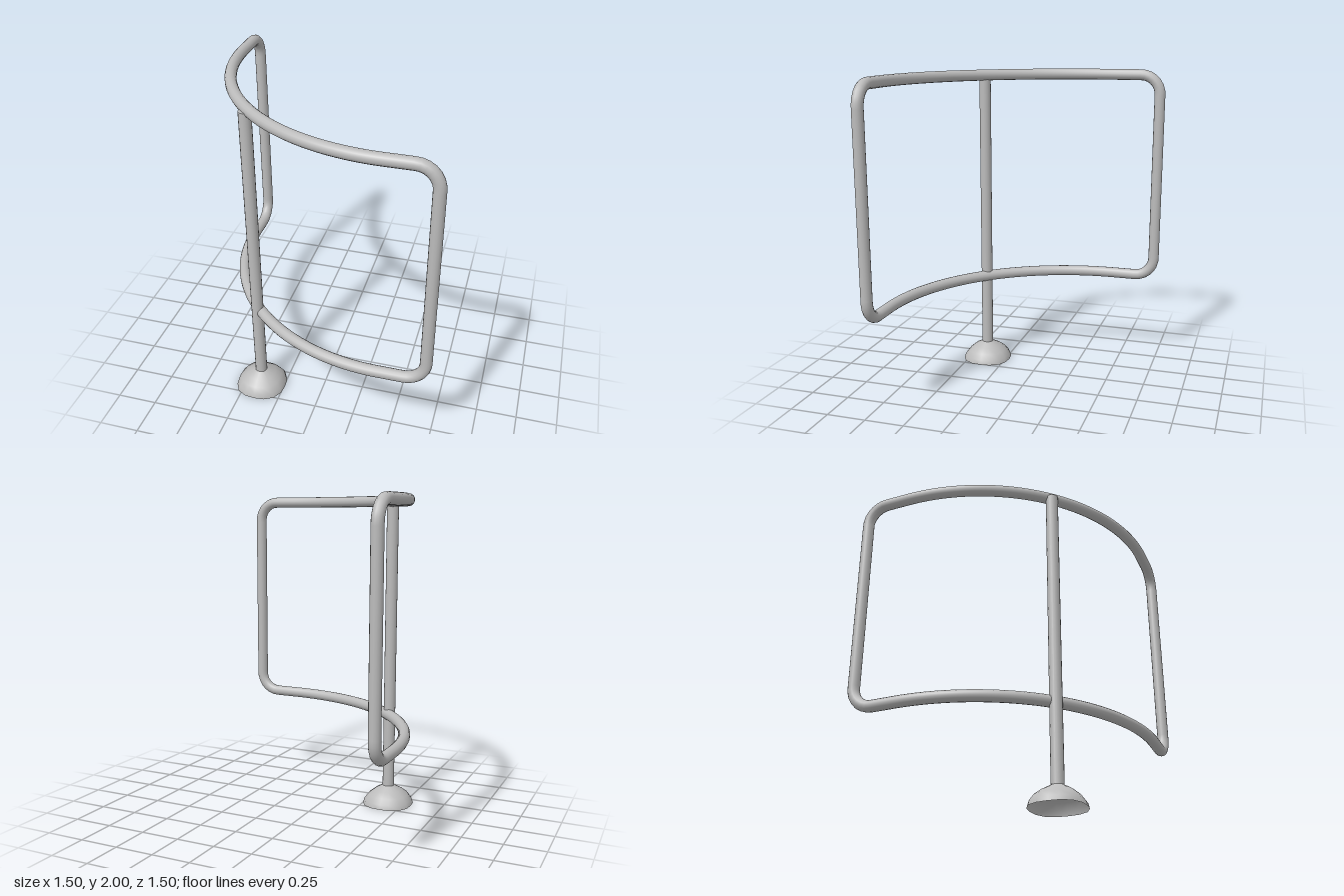
import * as THREE from 'three';

const PIPE = 0.035;
const ARC = { centre: 0.44, radius: 1.157 }; // plan arc centred on (c, -c)
const HALF_ARC = ARC.radius * Math.PI / 4;
const HALF_LENGTH = HALF_ARC + 0.718 - ARC.centre;
const LOW = 0.605, HIGH = 1.965, BEND = 0.125;

// Maps a distance along the rail to x and z: a quarter circle with straight ends
function bendAround(s, y) {
  const { centre, radius } = ARC;
  const a = THREE.MathUtils.clamp(s, -HALF_ARC, HALF_ARC) / radius + Math.PI * 0.75;
  const over = Math.max(0, Math.abs(s) - HALF_ARC);
  // a runs from the right end (facing -x) to the front end (facing +z)
  const angle = Math.PI * 1.5 - a;
  let x = centre + radius * Math.cos(angle);
  let z = -centre + radius * Math.sin(angle);
  if (s > 0) x += over;
  else z -= over;
  return new THREE.Vector3(x, y, z);
}

// Rounded rectangle, drawn flat and then wrapped round the plan curve
class FrameCurve extends THREE.Curve {
  constructor() {
    super();
    const w = HALF_LENGTH, b = BEND;
    this.outline = new THREE.Path()
      .moveTo(0, LOW)
      .lineTo(w - b, LOW)
      .absarc(w - b, LOW + b, b, -Math.PI / 2, 0)
      .lineTo(w, HIGH - b)
      .absarc(w - b, HIGH - b, b, 0, Math.PI / 2)
      .lineTo(-w + b, HIGH)
      .absarc(-w + b, HIGH - b, b, Math.PI / 2, Math.PI)
      .lineTo(-w, LOW + b)
      .absarc(-w + b, LOW + b, b, Math.PI, Math.PI * 1.5)
      .lineTo(0, LOW);
  }
  getPoint(t, target = new THREE.Vector3()) {
    const p = this.outline.getPointAt(t);
    return target.copy(bendAround(p.x, p.y));
  }
}

export function createModel() {
  const model = new THREE.Group();
  model.name = 'curvedPipeFrame';
  const steel = new THREE.MeshStandardMaterial({ color: 0xbbbbbb, side: THREE.DoubleSide });
  steel.name = 'grey steel';

  const add = (name, geometry, x = 0, y = 0, z = 0) => {
    const mesh = new THREE.Mesh(geometry, steel);
    mesh.name = name;
    mesh.position.set(x, y, z);
    model.add(mesh);
  };

  // Bent pipe loop
  add('pipeFrame', new THREE.TubeGeometry(new FrameCurve(), 240, PIPE, 14, true));

  // Upright post carrying the loop
  const postX = -0.4, postZ = 0.381, postTop = 1.96, postBottom = 0.1;
  add('post', new THREE.CylinderGeometry(0.037, 0.037, postTop - postBottom, 16),
    postX, (postTop + postBottom) / 2, postZ);

  // Hollow domed foot, slightly squared in plan
  const profile = [[0.158, 0], [0.15, 0.03], [0.125, 0.064], [0.088, 0.094], [0.036, 0.124]]
    .map(([r, y]) => new THREE.Vector2(r, y));
  const foot = new THREE.LatheGeometry(profile, 16);
  const pos = foot.attributes.position;
  for (let i = 0; i < pos.count; i++) {
    const swell = 1 + 0.08 * Math.sin(2 * Math.atan2(pos.getZ(i), pos.getX(i))) ** 2;
    pos.setX(i, pos.getX(i) * swell);
    pos.setZ(i, pos.getZ(i) * swell);
  }
  add('domedFoot', foot, postX, 0, postZ);

  return model;
}
